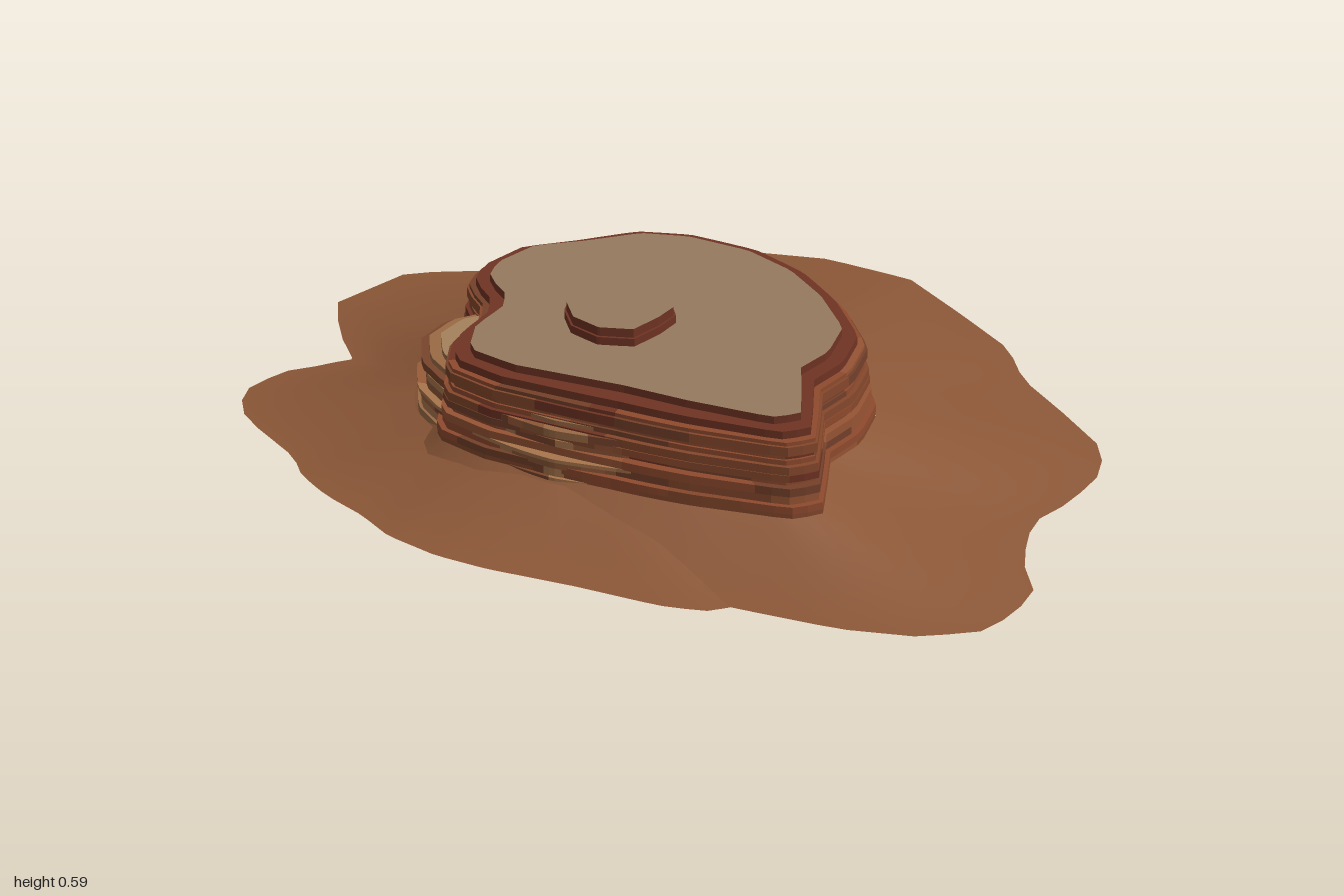
import * as THREE from 'three';

const SEGS = 96;

// Small seeded random generator
let seed = 7;
const rand = () => {
  seed = (seed * 16807) % 2147483647;
  return seed / 2147483647;
};

const material = (color, flatShading = true) =>
  new THREE.MeshStandardMaterial({ color, flatShading, roughness: 1, side: THREE.DoubleSide });

// Radius of a closed x,z outline, sampled at even angles about a centre
function radii(flat, [cx, cz]) {
  const pts = [];
  for (let i = 0; i < flat.length; i += 2) pts.push([flat[i] - cx, flat[i + 1] - cz]);
  return Array.from({ length: SEGS }, (_, k) => {
    const a = (k / SEGS) * Math.PI * 2, dx = Math.cos(a), dz = Math.sin(a);
    let best = 0;
    pts.forEach((p, i) => {
      const q = pts[(i + 1) % pts.length];
      const ex = q[0] - p[0], ez = q[1] - p[1];
      const det = dx * ez - dz * ex;
      if (Math.abs(det) < 1e-9) return;
      const t = (p[0] * ez - p[1] * ex) / det;
      const u = (p[0] * dz - p[1] * dx) / det;
      if (t > 0 && u >= -1e-6 && u <= 1 + 1e-6) best = Math.max(best, t);
    });
    return best;
  });
}

const ring = (rs, [cx, cz], y, offset = 0) => rs.map((r, k) => {
  const a = (k / SEGS) * Math.PI * 2;
  return [cx + (r + offset) * Math.cos(a), y, cz + (r + offset) * Math.sin(a)];
});

// Indexed surface through a stack of rings, from top to bottom
function loft(rings) {
  const geo = new THREE.BufferGeometry();
  geo.setAttribute('position', new THREE.Float32BufferAttribute(rings.flat(2), 3));
  const index = [];
  for (let j = 0; j < rings.length - 1; j++) {
    for (let k = 0; k < SEGS; k++) {
      const n = (k + 1) % SEGS, a = j * SEGS + k, b = j * SEGS + n;
      index.push(a, b, a + SEGS, b, b + SEGS, a + SEGS);
    }
  }
  geo.setIndex(index);
  geo.computeVertexNormals();
  return geo;
}

// One butte: flat cap, rim bands, layered rock walls and a sloping skirt
function butte(o) {
  const group = new THREE.Group();
  group.name = o.name;
  const add = (geo, mat, name) => {
    const mesh = new THREE.Mesh(geo, mat);
    mesh.name = name;
    group.add(mesh);
  };
  const top = radii(o.top, o.centre);
  const foot = radii(o.foot, o.centre);

  // Cap
  const capRing = ring(top, o.centre, o.capY);
  const cap = new THREE.ShapeGeometry(new THREE.Shape(capRing.map(p => new THREE.Vector2(p[0], -p[2]))));
  cap.rotateX(-Math.PI / 2).translate(0, o.capY, 0);
  add(cap, material(o.capColor), 'cap');

  // Rock strata, each a step in or out from the one above
  const layers = [{ off: 0, h: o.rim }, { off: o.spread * 0.45, h: o.rim }];
  const height = o.capY - o.wallY - 2 * o.rim;
  const weights = Array.from({ length: o.layers }, () => 0.6 + rand());
  const total = weights.reduce((a, b) => a + b);
  weights.forEach((w, i) => layers.push({
    off: o.spread * (0.62 + 0.3 * i / o.layers + 0.32 * (rand() - 0.5)),
    h: height * w / total,
  }));

  // Blocks of each stratum are sorted by colour
  const blocks = o.colors.map(() => []);
  let y = o.capY, prev = 0;
  layers.forEach((layer, i) => {
    const rings = [
      ring(top, o.centre, y, prev),
      ring(top, o.centre, y, layer.off),
      ring(top, o.centre, y - layer.h, layer.off),
    ];
    const base = Math.floor(rand() * o.colors.length);
    let left = 0, color = 0;
    for (let k = 0; k < SEGS; k++) {
      if (left-- <= 0) {
        left = 2 + Math.floor(rand() * 6);
        color = rand() < 0.5 ? base : Math.floor(rand() * o.colors.length);
      }
      const n = (k + 1) % SEGS;
      for (let j = 0; j < 2; j++) {
        const [a, b, c, d] = [rings[j][k], rings[j][n], rings[j + 1][k], rings[j + 1][n]];
        blocks[i < 2 ? 0 : color].push(...a, ...b, ...c, ...b, ...d, ...c);
      }
    }
    y -= layer.h;
    prev = layer.off;
  });
  blocks.forEach((list, i) => {
    const geo = new THREE.BufferGeometry();
    geo.setAttribute('position', new THREE.Float32BufferAttribute(list, 3));
    geo.computeVertexNormals();
    add(geo, material(o.colors[i]), 'rockBlocks' + (i + 1));
  });

  // Skirt of loose earth, flaring to the ground outline
  const rings = [];
  for (let i = 0; i <= 8; i++) {
    const t = i / 8;
    const rs = top.map((r, k) => THREE.MathUtils.lerp(r + o.spread, foot[k], t));
    rings.push(ring(rs, o.centre, o.footY + (o.wallY + 0.01 - o.footY) * Math.pow(1 - t, 1.35)));
  }
  add(loft(rings), material(0x8d5838, false), 'skirt');
  return group;
}

export function createModel() {
  const model = new THREE.Group();
  model.name = 'mesa';
  const reds = [0x6f3323, 0x86482c, 0x975434, 0x74402a, 0x8f4a2e];

  model.add(butte({
    name: 'mainButte', centre: [0, 0.08], capY: 0.54, wallY: 0.28, footY: 0.19,
    rim: 0.022, spread: 0.08, layers: 11, capColor: 0x967a5e, colors: reds,
    top: [-0.46, 0, -0.40, -0.09, -0.29, -0.15, -0.18, -0.22, -0.07, -0.245, 0.08, -0.24, 0.20, -0.20,
      0.30, -0.13, 0.39, -0.03, 0.39, 0.07, 0.35, 0.15, 0.38, 0.23, 0.41, 0.32, 0.35, 0.355, 0.14, 0.36,
      -0.02, 0.355, -0.29, 0.365, -0.41, 0.34, -0.425, 0.25, -0.39, 0.16, -0.40, 0.11, -0.46, 0.06],
    foot: [-0.92, -0.16, -0.80, -0.33, -0.60, -0.41, -0.42, -0.50, -0.29, -0.60, -0.10, -0.67, 0.11, -0.71,
      0.32, -0.70, 0.48, -0.61, 0.63, -0.52, 0.70, -0.42, 0.83, -0.33, 0.95, -0.24, 1.0, -0.15, 0.965, 0,
      0.92, 0.07, 0.915, 0.16, 0.95, 0.27, 1.0, 0.345, 0.99, 0.45, 0.94, 0.54, 0.81, 0.61, 0.62, 0.645,
      0.35, 0.65, 0, 0.64, -0.40, 0.56, -0.66, 0.41, -0.79, 0.25, -0.81, 0.03, -0.87, -0.05],
  }));

  model.add(butte({
    name: 'lowerButte', centre: [-0.22, 0.22], capY: 0.455, wallY: 0.27, footY: 0.19,
    rim: 0.015, spread: 0.065, layers: 8, capColor: 0xa5815c,
    colors: [0x9a6a45, 0xa8754b, 0x8c5636, 0x7a452c, 0x9a5c3a],
    top: [-0.53, 0.20, -0.50, 0.13, -0.42, 0.07, -0.26, 0.03, -0.08, 0.03, 0.03, 0.11, 0.09, 0.22,
      0.09, 0.32, 0.05, 0.365, -0.02, 0.385, -0.18, 0.385, -0.34, 0.355, -0.44, 0.31, -0.50, 0.27],
    foot: [-0.81, 0.03, -0.87, 0.08, -0.95, 0.135, -1.0, 0.22, -1.0, 0.30, -0.93, 0.36, -0.81, 0.44,
      -0.77, 0.50, -0.69, 0.555, -0.585, 0.60, -0.50, 0.655, -0.37, 0.69, -0.24, 0.70, -0.02, 0.695,
      0.19, 0.70, 0.30, 0.685, 0.36, 0.645, 0.48, 0.50, 0.50, 0.32, 0.35, 0.12, 0.10, -0.05,
      -0.20, -0.14, -0.50, -0.10],
  }));

  model.add(butte({
    name: 'innerButte', centre: [-0.12, 0.13], capY: 0.587, wallY: 0.28, footY: 0.185,
    rim: 0.025, spread: 0.012, layers: 9, capColor: 0x967a5e, colors: reds,
    top: [-0.235, 0.11, -0.20, 0.07, -0.10, 0.045, -0.01, 0.055, 0.01, 0.085, -0.01, 0.135,
      -0.05, 0.20, -0.13, 0.22, -0.20, 0.20, -0.235, 0.15],
    foot: [-0.48, 0.12, -0.42, -0.01, -0.30, -0.09, -0.12, -0.13, 0.08, -0.11, 0.20, -0.02, 0.24, 0.10,
      0.19, 0.23, 0.06, 0.33, -0.12, 0.37, -0.30, 0.34, -0.43, 0.25],
  }));

  // Support post with a hub of short arms
  const post = new THREE.Group();
  post.name = 'supportPost';
  post.position.set(-0.11, 0, 0.153);
  const steel = material(0x99968c, false);
  const pole = new THREE.Mesh(new THREE.CylinderGeometry(0.018, 0.018, 0.29, 20), steel);
  pole.name = 'pole';
  pole.position.y = 0.145;
  post.add(pole);
  for (let i = 0; i < 4; i++) {
    const arm = new THREE.Mesh(new THREE.BoxGeometry(0.075, 0.018, 0.024).translate(0.04, 0, 0), steel);
    arm.name = 'hubArm' + (i + 1);
    arm.position.y = 0.27;
    arm.rotation.y = (i * Math.PI) / 2;
    post.add(arm);
  }
  model.add(post);
  return model;
}
